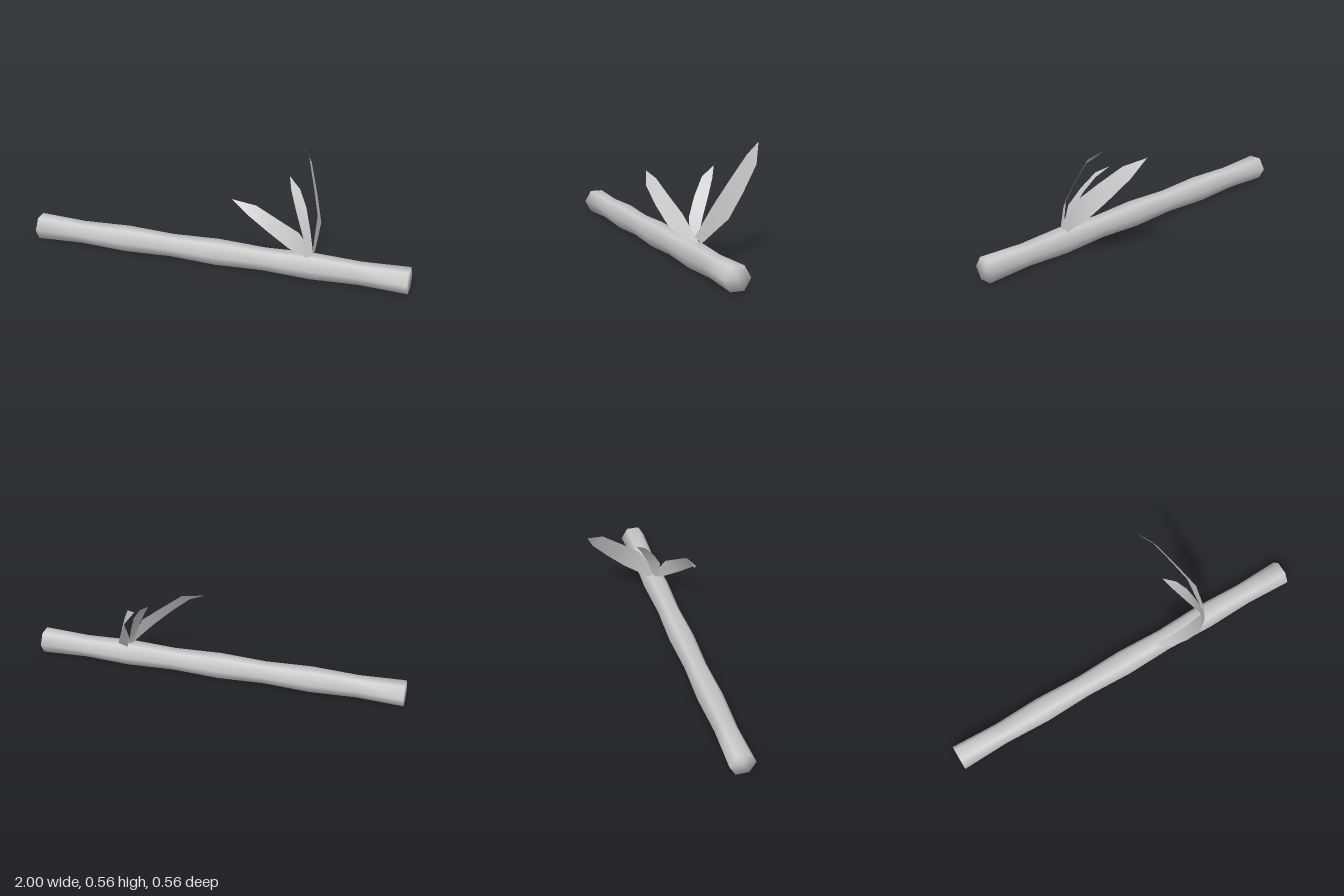
import * as THREE from 'three';
import { mergeVertices } from 'three/addons/utils/BufferGeometryUtils.js';

const paleGrey = new THREE.MeshStandardMaterial({ color: 0xcccccc, side: THREE.DoubleSide });
paleGrey.name = 'pale grey';

// Hexagonal cane, thick at the joints and slimmer between them
function caneGeometry() {
  let geo = new THREE.CylinderGeometry(1, 1, 2, 6, 8);
  geo.rotateZ(Math.PI / 2);
  const p = geo.attributes.position;
  for (let i = 0; i < p.count; i++) {
    const ring = Math.round((p.getX(i) + 1) * 4);
    const r = ring % 2 ? 0.059 : 0.068;
    p.setXYZ(i, p.getX(i), p.getY(i) * r + 0.06, p.getZ(i) * r + 0.143);
  }
  // shared normals, rolling softly over the end caps
  geo.deleteAttribute('normal');
  geo.deleteAttribute('uv');
  geo = mergeVertices(geo, 1e-4);
  geo.computeVertexNormals();
  return geo;
}

// Thin blade: pairs of edge points from the base up, closed by a tip
function leafGeometry(pairs, tip) {
  const index = [];
  const last = pairs.length - 1;
  for (let i = 0; i < last; i++) {
    const a = i * 2;
    index.push(a, a + 1, a + 2, a + 1, a + 3, a + 2);
  }
  index.push(last * 2, last * 2 + 1, last * 2 + 2);
  const geo = new THREE.BufferGeometry();
  geo.setAttribute('position', new THREE.Float32BufferAttribute([...pairs.flat(2), ...tip], 3));
  geo.setIndex(index);
  geo.computeVertexNormals();
  return geo;
}

const leaves = {
  backLeaf: {
    pairs: [
      [[0.505, 0.147, 0.145], [0.505, 0.115, 0.105]],
      [[0.5, 0.297, 0.045], [0.5, 0.222, -0.037]],
      [[0.45, 0.4, -0.06], [0.45, 0.335, -0.135]],
      [[0.39, 0.512, -0.18], [0.39, 0.462, -0.235]],
    ],
    tip: [0.32, 0.563, -0.278],
  },
  middleLeaf: {
    pairs: [
      [[0.485, 0.12, 0.157], [0.505, 0.12, 0.13]],
      [[0.45, 0.235, 0.152], [0.475, 0.235, 0.09]],
      [[0.405, 0.328, 0.105], [0.44, 0.335, 0.045]],
      [[0.36, 0.415, 0.045], [0.395, 0.41, 0.005]],
    ],
    tip: [0.33, 0.46, -0.03],
  },
  frontLeaf: {
    pairs: [
      [[0.505, 0.13, 0.13], [0.485, 0.118, 0.175]],
      [[0.44, 0.253, 0.18], [0.405, 0.19, 0.24]],
      [[0.335, 0.328, 0.212], [0.305, 0.278, 0.268]],
      [[0.235, 0.398, 0.238], [0.205, 0.36, 0.28]],
    ],
    tip: [0.11, 0.417, 0.243],
  },
};

export function createModel() {
  const group = new THREE.Group();
  group.name = 'leafyCane';

  const cane = new THREE.Mesh(caneGeometry(), paleGrey);
  cane.name = 'cane';
  group.add(cane);

  // Leaves sprouting from one joint
  for (const [name, { pairs, tip }] of Object.entries(leaves)) {
    const leaf = new THREE.Mesh(leafGeometry(pairs, tip), paleGrey);
    leaf.name = name;
    group.add(leaf);
  }
  return group;
}
